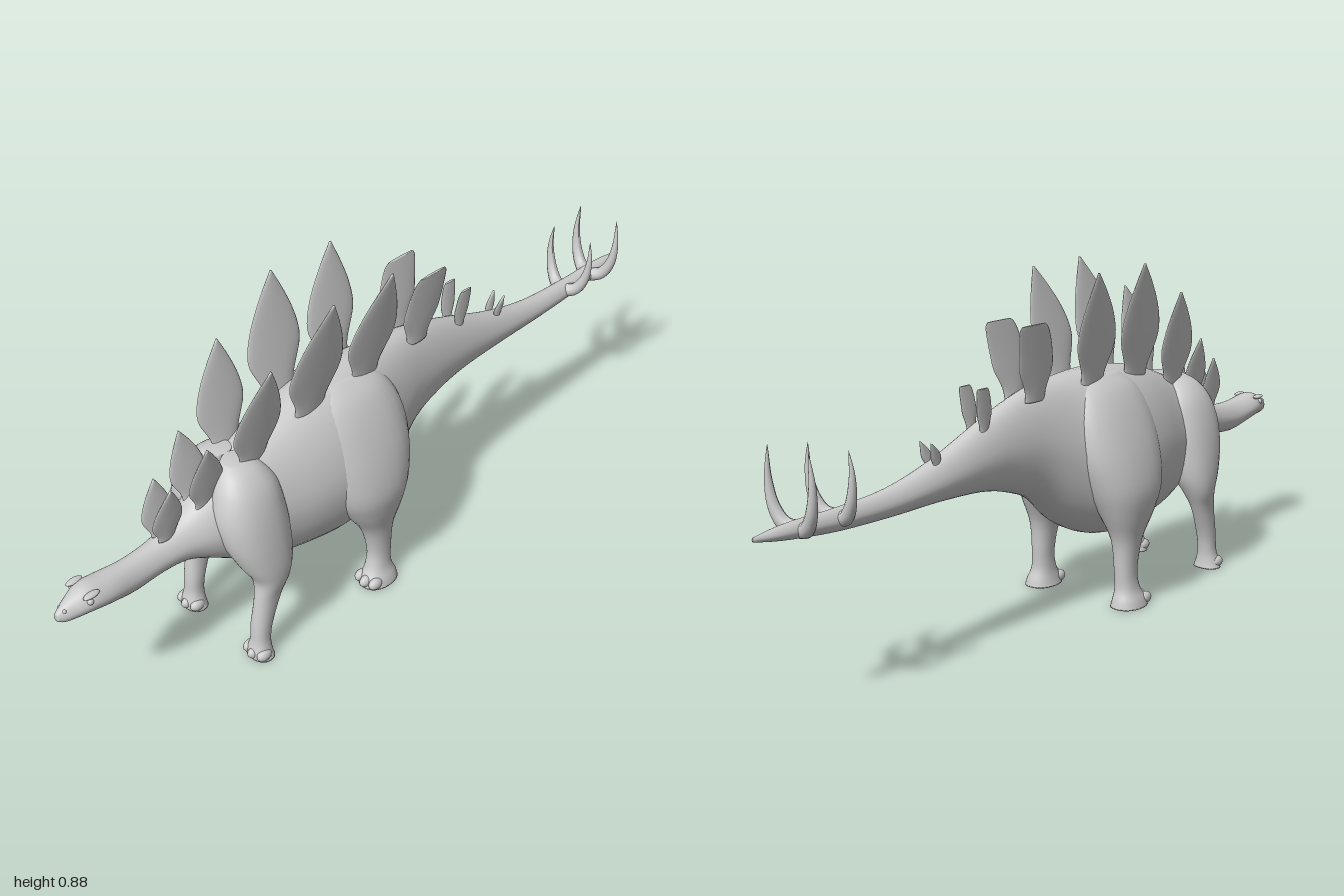
import * as THREE from 'three';

const material = new THREE.MeshStandardMaterial({ color: 0xcccccc, roughness: 0.8 });

// Resample table rows smoothly (Catmull-Rom through every column)
function resample(rows, steps) {
  const out = [];
  const row = (i) => rows[Math.max(0, Math.min(rows.length - 1, i))];
  for (let i = 0; i < rows.length - 1; i++) {
    for (let s = 0; s < steps; s++) {
      const t = s / steps;
      out.push(row(i).map((p1, k) => {
        const p0 = row(i - 1)[k], p2 = row(i + 1)[k], p3 = row(i + 2)[k];
        return p1 + 0.5 * t * (p2 - p0 + t * (2 * p0 - 5 * p1 + 4 * p2 - p3 + t * (3 * (p1 - p2) + p3 - p0)));
      }));
    }
  }
  out.push(rows[rows.length - 1]);
  return out;
}

// Skin over closed rings of points, capped at both ends
function loft(rings) {
  const n = rings[0].length, pos = [], index = [];
  rings.forEach((r) => r.forEach((p) => pos.push(...p)));
  for (let i = 0; i < rings.length - 1; i++) {
    for (let j = 0; j < n; j++) {
      const k = (j + 1) % n, a = i * n + j, b = i * n + k;
      index.push(a, b, a + n, b, b + n, a + n);
    }
  }
  [0, rings.length - 1].forEach((i) => {
    const c = [0, 1, 2].map((k) => rings[i].reduce((sum, p) => sum + p[k], 0) / n);
    const id = pos.length / 3;
    pos.push(...c);
    for (let j = 0; j < n; j++) {
      const a = i * n + j, b = i * n + (j + 1) % n;
      if (i === 0) index.push(id, b, a); else index.push(id, a, b);
    }
  });
  const g = new THREE.BufferGeometry();
  g.setAttribute('position', new THREE.Float32BufferAttribute(pos, 3));
  g.setIndex(index);
  g.computeVertexNormals();
  return g;
}

// Rounded loop: calls f(cos, sin) around the ring, fuller than an ellipse when power < 1
function ring(n, power, f) {
  const soft = (v) => Math.sign(v) * Math.pow(Math.abs(v), power);
  return Array.from({ length: n }, (_, j) => {
    const a = (j / n) * Math.PI * 2;
    return f(soft(Math.cos(a)), soft(Math.sin(a)));
  });
}

function add(parent, name, geometry) {
  const mesh = new THREE.Mesh(geometry, material);
  mesh.name = name;
  parent.add(mesh);
  return mesh;
}

// Tail, trunk, neck and head: z, bottom, top, half width
const BODY = [
  [-1, 0.42, 0.43, 0.003], [-0.95, 0.41, 0.436, 0.015], [-0.88, 0.4, 0.44, 0.022],
  [-0.76, 0.388, 0.44, 0.026], [-0.6, 0.383, 0.45, 0.032], [-0.45, 0.383, 0.485, 0.042],
  [-0.3, 0.374, 0.54, 0.052], [-0.2, 0.352, 0.575, 0.06], [-0.1, 0.31, 0.6, 0.074],
  [0, 0.228, 0.61, 0.105], [0.1, 0.178, 0.614, 0.145], [0.2, 0.163, 0.61, 0.158],
  [0.3, 0.172, 0.595, 0.148], [0.4, 0.192, 0.565, 0.126], [0.5, 0.235, 0.522, 0.105],
  [0.58, 0.285, 0.475, 0.078], [0.65, 0.32, 0.432, 0.052], [0.72, 0.325, 0.41, 0.04],
  [0.8, 0.32, 0.404, 0.038], [0.87, 0.335, 0.408, 0.044], [0.92, 0.344, 0.412, 0.042],
  [0.96, 0.344, 0.398, 0.028], [0.985, 0.346, 0.385, 0.017], [1, 0.355, 0.375, 0.008],
];

// Legs from sole to top: y, inner x, outer x, back z, front z
const HIND_LEG = [
  [0, 0.1, 0.186, 0.075, 0.185], [0.02, 0.105, 0.18, 0.08, 0.18], [0.05, 0.11, 0.168, 0.09, 0.162],
  [0.1, 0.11, 0.164, 0.088, 0.155], [0.18, 0.1, 0.17, 0.08, 0.175], [0.25, 0.07, 0.187, 0.05, 0.22],
  [0.32, 0.03, 0.195, 0.02, 0.26], [0.41, 0, 0.176, -0.005, 0.284], [0.5, 0, 0.14, 0, 0.28],
  [0.565, 0, 0.1, 0.03, 0.25], [0.6, 0, 0.055, 0.07, 0.21],
];
const FORE_LEG = [
  [0, 0.086, 0.164, 0.495, 0.555], [0.02, 0.092, 0.157, 0.498, 0.555], [0.05, 0.1, 0.15, 0.498, 0.547],
  [0.1, 0.1, 0.15, 0.488, 0.543], [0.18, 0.1, 0.153, 0.455, 0.53], [0.23, 0.082, 0.163, 0.43, 0.525],
  [0.28, 0.05, 0.165, 0.41, 0.55], [0.35, 0.02, 0.158, 0.4, 0.577], [0.42, 0, 0.144, 0.4, 0.585],
  [0.48, 0, 0.122, 0.41, 0.57], [0.52, 0, 0.09, 0.435, 0.545], [0.54, 0, 0.055, 0.46, 0.52],
];

// Back plates: z, tip z, base y, top y, half width, base x, tip x, blunt top
const PLATES = [
  [0.69, 0.68, 0.41, 0.555, 0.043, 0.012, 0.03, 0], [0.58, 0.583, 0.45, 0.627, 0.05, 0.022, 0.05, 0],
  [0.45, 0.42, 0.52, 0.78, 0.07, 0.045, 0.092, 0], [0.27, 0.235, 0.57, 0.876, 0.082, 0.05, 0.105, 0],
  [0.085, 0.043, 0.58, 0.872, 0.077, 0.05, 0.104, 0], [-0.12, -0.15, 0.57, 0.765, 0.064, 0.032, 0.055, 1],
  [-0.295, -0.308, 0.52, 0.632, 0.026, 0.02, 0.028, 1], [-0.455, -0.476, 0.47, 0.53, 0.017, 0.013, 0.018, 0],
];
const LEAF = [[0, 0.55], [0.12, 0.62], [0.32, 0.97], [0.46, 1], [0.64, 0.8], [0.82, 0.46], [0.94, 0.18], [1, 0.03]];
const BLUNT = [[0, 0.55], [0.15, 0.62], [0.4, 0.97], [0.6, 1], [0.8, 0.95], [0.94, 0.85], [1, 0.68]];

function legGeometry(rows, side) {
  return loft(resample(rows, 4).map(([y, xi, xo, zb, zf]) => ring(28, 0.9, (c, s) => [
    side * (xi + xo) / 2 + s * (xo - xi) / 2, y, (zb + zf) / 2 + c * (zf - zb) / 2,
  ])));
}

function plateGeometry([z, tipZ, base, top, half, baseX, tipX, blunt], side) {
  return loft(resample(blunt ? BLUNT : LEAF, 4).map(([t, w]) => ring(20, 1, (c, s) => [
    side * (baseX + (tipX - baseX) * t) + s * (0.003 + half * 0.12 * (1 - t)),
    base + (top - base) * t,
    z + (tipZ - z) * t * t + c * half * w,
  ])));
}

// Round horn: a tube whose radius shrinks towards its tip
function hornGeometry(points, radius) {
  const curve = new THREE.CatmullRomCurve3(points.map((p) => new THREE.Vector3(...p)));
  const n = 24, sides = 12, g = new THREE.TubeGeometry(curve, n, radius, sides);
  const p = g.attributes.position, v = new THREE.Vector3();
  for (let i = 0; i < p.count; i++) {
    const t = Math.floor(i / (sides + 1)) / n;
    v.fromBufferAttribute(p, i).lerp(curve.getPointAt(t), 1 - Math.pow(1 - t, 0.8));
    p.setXYZ(i, v.x, v.y, v.z);
  }
  g.computeVertexNormals();
  return g;
}

export function createModel() {
  const model = new THREE.Group();
  model.name = 'platedDinosaur';

  // Body with a narrower back than belly
  add(model, 'body', loft(resample(BODY, 4).map(([z, lo, hi, w]) => ring(40, 0.9, (c, s) => [
    c * w * (1 - 0.22 * Math.max(0, s)), (lo + hi) / 2 + s * (hi - lo) / 2, z,
  ]))));

  for (const side of [1, -1]) {
    const label = side > 0 ? 'left' : 'right';

    // Legs and toes
    for (const [name, rows] of [['HindLeg', HIND_LEG], ['ForeLeg', FORE_LEG]]) {
      const leg = new THREE.Group();
      leg.name = label + name;
      model.add(leg);
      add(leg, 'limb', legGeometry(rows, side));
      const [, xi, xo, , zf] = rows[0];
      [-1, 0, 1].forEach((k) => {
        const toe = add(leg, 'toe', new THREE.SphereGeometry(1, 14, 10));
        toe.scale.set(0.014, 0.016, 0.022);
        toe.position.set(side * (xi + xo) / 2 + k * 0.025, 0.016, zf - 0.012 - Math.abs(k) * 0.008);
      });
    }

    // Two rows of back plates
    PLATES.forEach((plate, i) => add(model, `${label}Plate${i + 1}`, plateGeometry(plate, side)));

    // Tail spikes curving out and up
    for (const [z, top] of [[-0.765, 0.582], [-0.88, 0.6]]) {
      add(model, label + 'TailSpike', hornGeometry([
        [0, 0.415, z + 0.015], [side * 0.034, 0.425, z], [side * 0.057, 0.46, z - 0.008],
        [side * 0.068, 0.52, z - 0.012], [side * 0.063, top, z - 0.015],
      ], 0.02));
    }

    // Eye, brow and nostril
    const eye = add(model, label + 'Eye', new THREE.SphereGeometry(0.008, 16, 12));
    eye.position.set(side * 0.034, 0.388, 0.928);
    const brow = add(model, label + 'Brow', new THREE.SphereGeometry(1, 16, 12));
    brow.scale.set(0.01, 0.006, 0.022);
    brow.position.set(side * 0.032, 0.403, 0.922);
    const nostril = add(model, label + 'Nostril', new THREE.SphereGeometry(0.005, 12, 8));
    nostril.position.set(side * 0.01, 0.379, 0.982);
  }
  return model;
}
